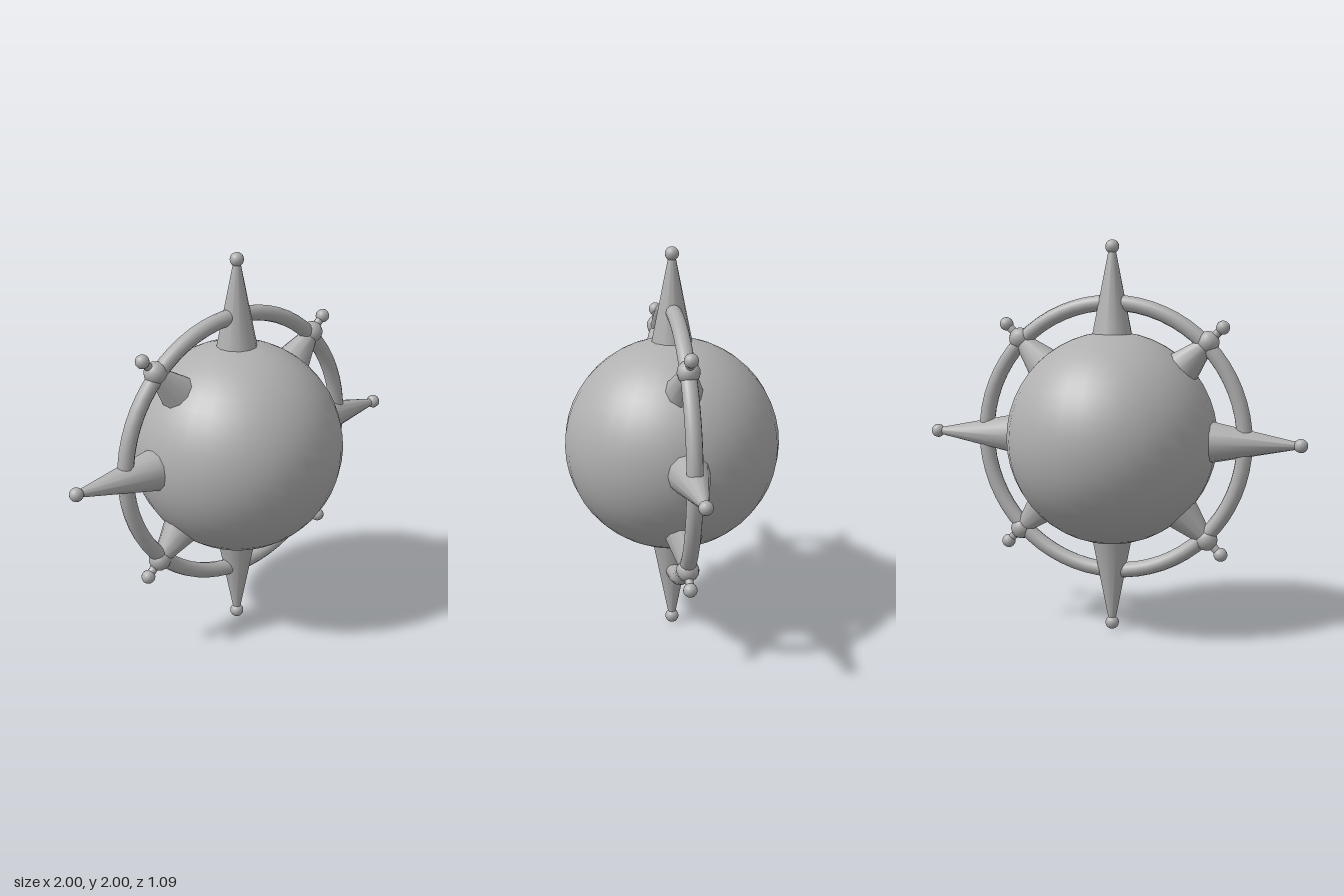
import * as THREE from 'three';

export function createModel() {
  const model = new THREE.Group();
  const grey = new THREE.MeshStandardMaterial({ color: 0xb0b0b0 });
  grey.name = 'grey';

  const add = (parent, name, geometry, y = 0) => {
    const mesh = new THREE.Mesh(geometry, grey);
    mesh.name = name;
    mesh.position.y = y;
    parent.add(mesh);
    return mesh;
  };
  // Tapered rod running outward between two distances from the centre
  const rod = (parent, name, rInner, rOuter, from, to, sides) =>
    add(parent, name, new THREE.CylinderGeometry(rOuter, rInner, to - from, sides), (from + to) / 2);

  // Everything radiates from the middle of the globe
  const body = new THREE.Group();
  body.name = 'body';
  body.position.y = 1;
  model.add(body);

  const globe = add(body, 'globe', new THREE.SphereGeometry(0.544, 32, 24));
  globe.scale.set(0.985, 0.993, 1);

  add(body, 'ring', new THREE.TorusGeometry(0.686, 0.04, 12, 64));

  // Long spikes on the axes, short knobbed handles on the diagonals
  for (let i = 0; i < 8; i++) {
    const arm = new THREE.Group();
    arm.rotation.z = (i * Math.PI) / 4;
    body.add(arm);
    if (i % 2 === 0) {
      arm.name = 'longSpike';
      rod(arm, 'spike', 0.104, 0.017, 0.52, 0.955, 12);
      add(arm, 'spikeTip', new THREE.SphereGeometry(0.035, 14, 10), 0.965);
    } else {
      arm.name = 'shortHandle';
      rod(arm, 'handleBase', 0.097, 0.04, 0.51, 0.69, 10);
      add(arm, 'handleKnob', new THREE.SphereGeometry(0.057, 12, 8), 0.702);
      rod(arm, 'handleRod', 0.021, 0.021, 0.7, 0.8, 10);
      add(arm, 'handleTip', new THREE.SphereGeometry(0.035, 14, 10), 0.806);
    }
  }
  return model;
}
